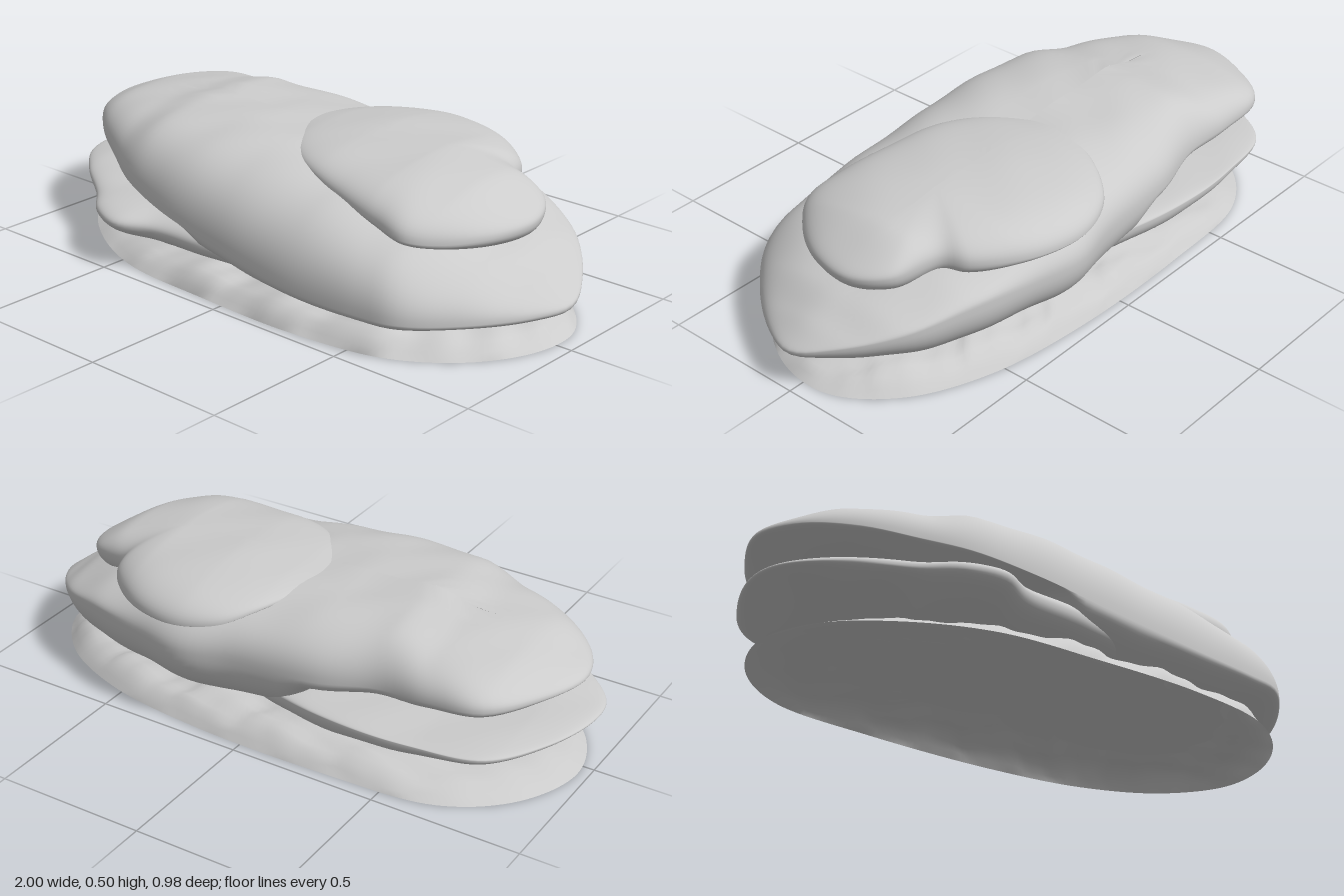
import * as THREE from 'three';

const V = (x, y, z) => new THREE.Vector3(x, y, z);

// height along x, eased between [x, y] pairs
function heightAlong(pairs) {
  return x => {
    if (x <= pairs[0][0]) return pairs[0][1];
    for (let i = 1; i < pairs.length; i++) {
      const [x0, y0] = pairs[i - 1], [x1, y1] = pairs[i];
      if (x <= x1) return y0 + (y1 - y0) * THREE.MathUtils.smoothstep(x, x0, x1) * 0.4
        + (y1 - y0) * 0.6 * (x - x0) / (x1 - x0);
    }
    return pairs[pairs.length - 1][1];
  };
}

// gentle weathering
const wear = (x, y, z) =>
  Math.sin(9 * x + 4 * z + 3 * y) * 0.5 + Math.sin(17 * z - 7 * x + 11 * y) * 0.3 + Math.sin(23 * x + 19 * z) * 0.2;

// rows of rim-length loops joined into a smooth surface
function skin(name, rows, side = THREE.FrontSide) {
  const n = rows[0].length, pos = [], idx = [];
  rows.forEach(row => row.forEach(p => pos.push(p.x, p.y, p.z)));
  for (let k = 0; k < rows.length - 1; k++) {
    for (let i = 0; i < n; i++) {
      const j = (i + 1) % n, a = k * n, b = a + n;
      idx.push(a + i, a + j, b + j, a + i, b + j, b + i);
    }
  }
  const g = new THREE.BufferGeometry();
  g.setAttribute('position', new THREE.Float32BufferAttribute(pos, 3));
  g.setIndex(idx);
  g.computeVertexNormals();
  const mesh = new THREE.Mesh(g, new THREE.MeshStandardMaterial({ color: 0xcccccc, side }));
  mesh.name = name;
  return mesh;
}

function loop(points, n) {
  const curve = new THREE.CatmullRomCurve3(points.map(p => V(...p)), true, 'centripetal');
  return curve.getSpacedPoints(n).slice(0, n);
}

// boulder: rim loop [x, y, z] swelling to a top and a bottom height over a spine
function boulder(name, { rim, top, bottom, cx, cz, spine, full, rough }) {
  const edge = loop(rim, 160), rows = [], steps = 40;
  for (let k = 0; k <= steps; k++) {
    const t = (k / steps - 0.5) * Math.PI;
    const r = Math.pow(Math.max(Math.cos(t), 0), full);
    const h = Math.pow(Math.abs(Math.sin(t)), 0.9);
    rows.push(edge.map(p => {
      const sx = cx + (p.x - cx) * spine;
      const x = sx + (p.x - sx) * r, z = cz + (p.z - cz) * r;
      const y = p.y + ((t > 0 ? top : bottom)(x) - p.y) * h;
      const w = wear(x, y, z) * rough;
      return V(x + w * 0.4 * r * (1 - r), y + w * h, z + w * r * h);
    }));
  }
  return skin(name, rows);
}

export function createModel() {
  const rock = new THREE.Group();
  rock.name = 'rockStack';

  // large tilted boulder, overhanging at its -x end
  rock.add(boulder('mainBoulder', {
    rim: [
      [-0.98, 0.36, -0.08], [-0.93, 0.35, 0.08], [-0.8, 0.33, 0.21], [-0.65, 0.3, 0.3], [-0.5, 0.27, 0.38],
      [-0.3, 0.23, 0.43], [0, 0.18, 0.455], [0.3, 0.14, 0.47], [0.55, 0.13, 0.455], [0.68, 0.13, 0.43],
      [0.82, 0.13, 0.31], [0.95, 0.135, 0.13], [0.995, 0.145, 0], [0.94, 0.18, -0.13], [0.8, 0.23, -0.29],
      [0.62, 0.27, -0.385], [0.4, 0.28, -0.45], [0.23, 0.285, -0.487], [0.05, 0.29, -0.455], [-0.25, 0.3, -0.44],
      [-0.45, 0.32, -0.395], [-0.63, 0.34, -0.41], [-0.8, 0.355, -0.4], [-0.92, 0.36, -0.25],
    ],
    top: heightAlong([[-0.98, 0.41], [-0.8, 0.45], [-0.6, 0.46], [-0.45, 0.495], [-0.2, 0.485], [0, 0.465],
      [0.3, 0.425], [0.6, 0.355], [0.8, 0.285], [0.9, 0.235], [1, 0.18]]),
    bottom: heightAlong([[-0.98, 0.34], [-0.8, 0.3], [-0.5, 0.25], [-0.22, 0.22], [-0.12, 0.1], [0.1, 0.07],
      [0.6, 0.07], [0.95, 0.09]]),
    cx: 0, cz: -0.03, spine: 0.6, full: 0.6, rough: 0.008,
  }));

  // lower ledge beneath the overhang
  rock.add(boulder('lowerLedge', {
    rim: [
      [-1, 0.2, -0.05], [-0.98, 0.19, 0.1], [-0.85, 0.185, 0.24], [-0.68, 0.17, 0.36], [-0.58, 0.165, 0.45],
      [-0.46, 0.16, 0.49], [-0.34, 0.155, 0.44], [-0.1, 0.15, 0.42], [0.15, 0.14, 0.35], [0.25, 0.14, 0],
      [0.1, 0.16, -0.3], [-0.15, 0.19, -0.42], [-0.4, 0.2, -0.462], [-0.6, 0.2, -0.452], [-0.82, 0.2, -0.405],
      [-0.94, 0.2, -0.24],
    ],
    top: heightAlong([[-1, 0.22], [-0.85, 0.225], [-0.6, 0.215], [-0.2, 0.225], [0.3, 0.2]]),
    bottom: heightAlong([[-1, 0.18], [-0.75, 0.14], [-0.5, 0.1], [-0.3, 0.07], [0.3, 0.06]]),
    cx: -0.4, cz: 0.02, spine: 0.5, full: 0.55, rough: 0.006,
  }));

  // flat cap stone lying on the slope, its edges tapering
  rock.add(boulder('capStone', {
    rim: [
      [-0.11, 0.465, -0.1], [-0.05, 0.45, 0.06], [0.1, 0.43, 0.2], [0.32, 0.39, 0.27], [0.48, 0.36, 0.3],
      [0.6, 0.335, 0.31], [0.69, 0.325, 0.24], [0.78, 0.33, 0.1], [0.81, 0.34, -0.07], [0.75, 0.36, -0.19],
      [0.6, 0.375, -0.25], [0.56, 0.375, -0.33], [0.4, 0.375, -0.45], [0.22, 0.38, -0.49], [0.08, 0.4, -0.45],
      [0, 0.43, -0.37], [-0.07, 0.455, -0.24],
    ],
    top: heightAlong([[-0.11, 0.475], [0, 0.488], [0.2, 0.499], [0.45, 0.492], [0.65, 0.46], [0.81, 0.4]]),
    bottom: heightAlong([[-0.11, 0.44], [0.3, 0.34], [0.6, 0.28], [0.81, 0.25]]),
    cx: 0.35, cz: -0.09, spine: 0.4, full: 0.85, rough: 0.004,
  }));

  // craggy hollow foot, open underneath, lower toward -x
  const foot = loop([
    [-0.965, 0, -0.05], [-0.9, 0, 0.15], [-0.72, 0, 0.31], [-0.45, 0, 0.43], [-0.1, 0, 0.46], [0.3, 0, 0.465],
    [0.62, 0, 0.41], [0.82, 0, 0.27], [0.93, 0, 0.08], [0.935, 0, -0.1], [0.8, 0, -0.28], [0.55, 0, -0.4],
    [0.2, 0, -0.455], [-0.3, 0, -0.46], [-0.68, 0, -0.42], [-0.88, 0, -0.27],
  ], 200);
  const footProfile = [[1, 0], [0.97, 0.02], [0.93, 0.042], [0.88, 0.055], [0.82, 0.064], [0.76, 0.072],
    [0.7, 0.08], [0.6, 0.088], [0.47, 0.094]];
  const footHeight = heightAlong([[-0.95, 0.75], [-0.5, 0.9], [-0.1, 1.1], [0.9, 1.05]]);
  rock.add(skin('craggyFoot', footProfile.map(([r, y], k) => foot.map(p => {
    const x = 0.25 + (p.x - 0.25) * r, z = p.z * r;
    const crag = k ? wear(x * 2.2, y * 5, z * 2.2) : 0;
    return V(x + crag * 0.012, Math.max(0, y * footHeight(x) * (1 + crag * 0.2)), z + crag * 0.008);
  })), THREE.DoubleSide));

  return rock;
}
